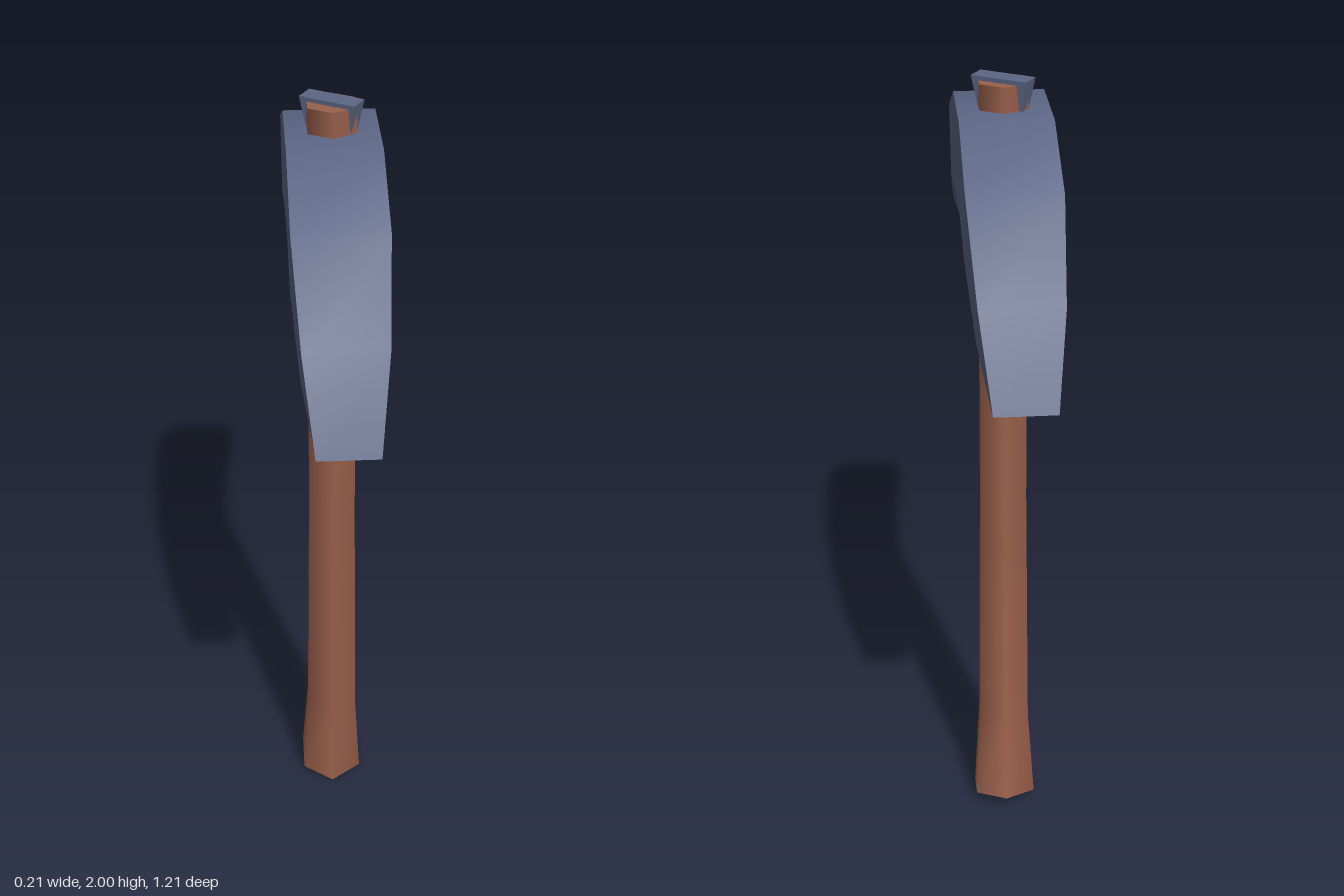
import * as THREE from 'three';
import { toCreasedNormals } from 'three/addons/utils/BufferGeometryUtils.js';

// Skin a closed solid over equal-length rings of [x, y, z] points
function loft(rings, crease) {
  const n = rings[0].length, last = (rings.length - 1) * n, index = [];
  for (let i = 0; i < rings.length - 1; i++) {
    for (let j = 0; j < n; j++) {
      const a = i * n + j, b = i * n + (j + 1) % n;
      index.push(a, b, b + n, a, b + n, a + n);
    }
  }
  for (let j = 1; j < n - 1; j++) {
    index.push(0, j + 1, j, last, last + j, last + j + 1);
  }
  const geometry = new THREE.BufferGeometry();
  geometry.setAttribute('position', new THREE.Float32BufferAttribute(rings.flat(2), 3));
  geometry.setIndex(index);
  return toCreasedNormals(geometry.toNonIndexed(), crease);
}

export function createModel() {
  const wood = new THREE.MeshStandardMaterial({ color: 0x9a604b });
  wood.name = 'wood';
  const steel = new THREE.MeshStandardMaterial({ color: 0x5c6685 });
  steel.name = 'steel';

  const group = new THREE.Group();
  group.name = 'pickaxe';
  const add = (name, geometry, material) => {
    const mesh = new THREE.Mesh(geometry, material);
    mesh.name = name;
    group.add(mesh);
    return mesh;
  };

  // Six-sided handle: [y at front, y at back, z front, z back, half width]
  const handleSections = [
    [0.0, 0.05, 0.04, -0.14, 0.078],
    [0.27, 0.28, 0.05, -0.1, 0.063],
    [0.95, 0.95, 0.056, -0.07, 0.056],
    [1.99, 1.99, 0.054, -0.066, 0.054],
  ];
  const handleRings = handleSections.map(([yf, yb, zf, zb, w]) =>
    Array.from({ length: 6 }, (_, j) => {
      const a = Math.PI / 6 + j * Math.PI / 3;
      const t = (1 + Math.sin(a)) / 2; // 0 at the front, 1 at the back
      return [
        w * Math.cos(a) / Math.cos(Math.PI / 6),
        THREE.MathUtils.lerp(yf, yb, t),
        THREE.MathUtils.lerp(zf, zb, t),
      ];
    }));
  add('handle', loft(handleRings, 1.2), wood);

  // Curved head, mirrored front to back: [outer z, outer y, inner z, inner y, half width]
  const half = [
    [0.605, 1.47, 0.557, 1.46, 0.068],
    [0.502, 1.66, 0.44, 1.56, 0.091],
    [0.325, 1.838, 0.267, 1.67, 0.104],
    [0.115, 1.932, 0.085, 1.72, 0.104],
  ];
  const section = (s) => ([zo, yo, zi, yi, w]) => [
    [w, yo, s * zo], [-w, yo, s * zo], [-w, yi, s * zi], [w, yi, s * zi],
  ];
  const headRings = [...half.map(section(-1)), ...half.map(section(1)).reverse()];
  add('head', loft(headRings, 0.7), steel);

  // Tapered wedge driven diagonally into the top of the handle
  const wedgeGeometry = new THREE.BoxGeometry(0.135, 0.15, 0.048);
  const p = wedgeGeometry.attributes.position;
  for (let i = 0; i < p.count; i++) {
    if (p.getY(i) < 0) p.setXYZ(i, p.getX(i) * 0.6, p.getY(i), p.getZ(i) * 0.3);
  }
  wedgeGeometry.computeVertexNormals();
  const wedge = add('wedge', wedgeGeometry, steel);
  wedge.position.set(0, 1.925, -0.01);
  wedge.rotation.y = -0.54;

  return group;
}
